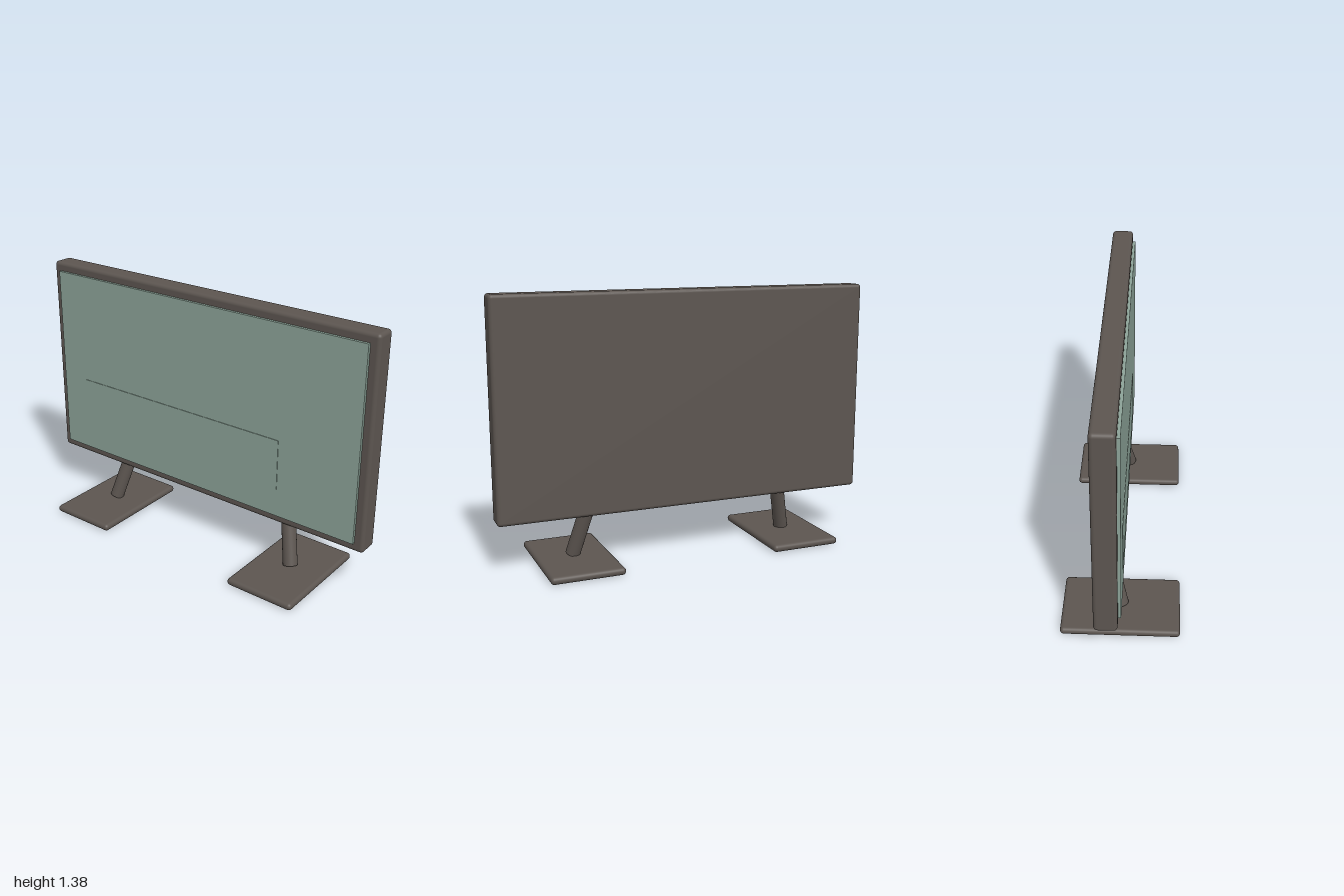
import * as THREE from 'three';
import { RoundedBoxGeometry } from 'three/addons/geometries/RoundedBoxGeometry.js';

const casing = new THREE.MeshStandardMaterial({ color: 0x5c5550 });
casing.name = 'casing';
const glass = new THREE.MeshStandardMaterial({ color: 0x8ca398 });
glass.name = 'screenGlass';

export function createModel() {
  const model = new THREE.Group();
  model.name = 'television';

  function add(name, geometry, material, x, y, z) {
    const mesh = new THREE.Mesh(geometry, material);
    mesh.name = name;
    mesh.position.set(x, y, z);
    model.add(mesh);
    return mesh;
  }

  // Casing with softly rounded edges
  add('casing', new RoundedBoxGeometry(2, 1.116, 0.113, 4, 0.019), casing, 0, 0.818, -0.0565);

  // Screen panel and the thin raised plate on it
  add('screen', new THREE.BoxGeometry(1.904, 1.022, 0.025), glass, 0, 0.818, 0.0025);
  add('screenPlate', new THREE.BoxGeometry(1.3, 0.27, 0.006), glass, -0.142, 0.594, 0.015);

  // Mirrored feet with legs leaning inward and back
  for (const [side, label] of [[1, 'left'], [-1, 'right']]) {
    add(label + 'Foot', new RoundedBoxGeometry(0.38, 0.038, 0.596, 4, 0.0185), casing, side * 0.6, 0.019, 0);

    const bottom = new THREE.Vector3(side * 0.6, 0.042, 0);
    const top = new THREE.Vector3(side * 0.538, 0.29, -0.062);
    const axis = top.clone().sub(bottom);
    const middle = bottom.clone().add(top).multiplyScalar(0.5);
    const leg = add(label + 'Leg', new THREE.CylinderGeometry(0.038, 0.038, axis.length(), 32),
      casing, middle.x, middle.y, middle.z);
    leg.quaternion.setFromUnitVectors(new THREE.Vector3(0, 1, 0), axis.normalize());
  }

  return model;
}
